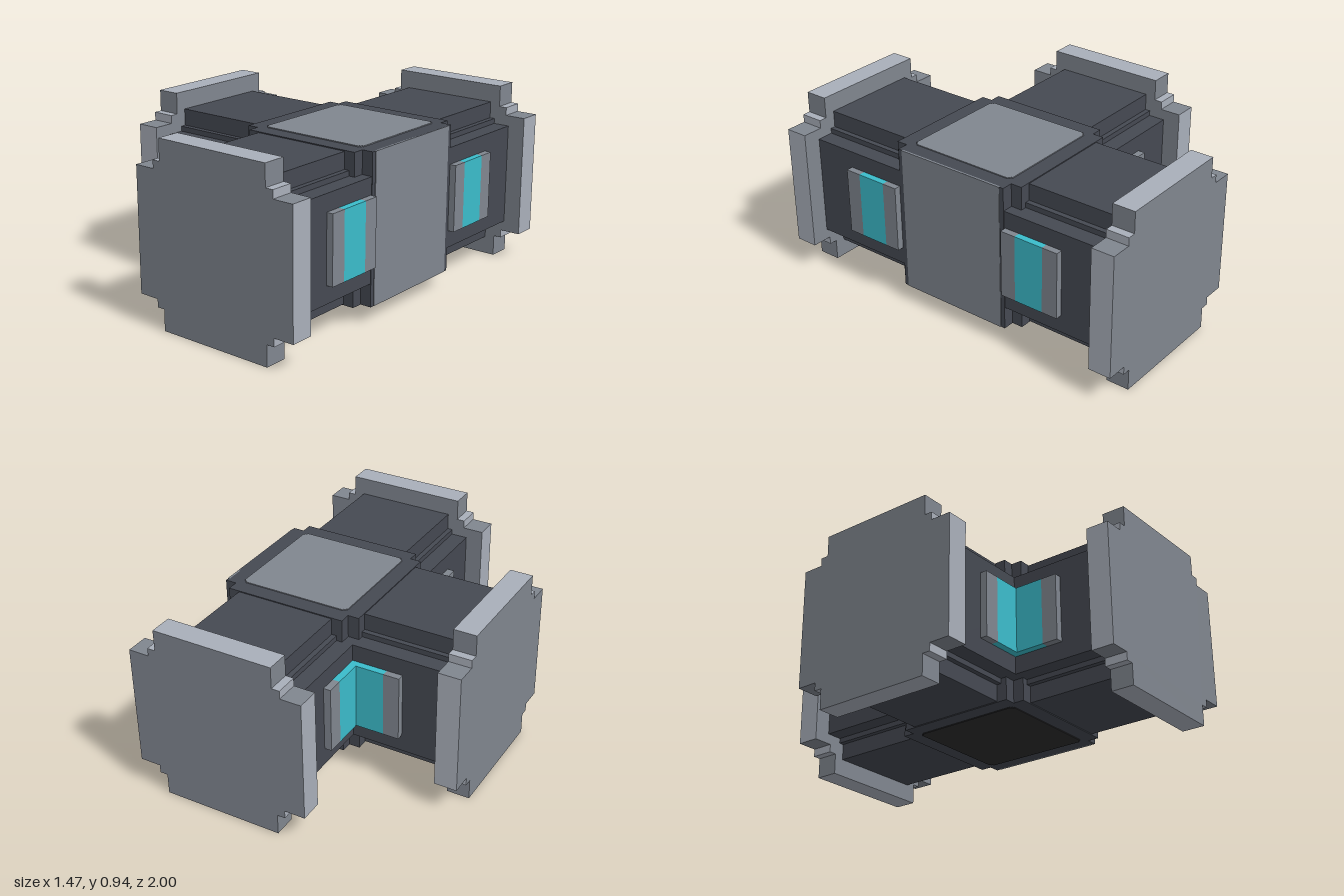
import * as THREE from 'three';

const CX = 0.262, CY = 0.473; // axis of the main corridor

const mat = (name, color) => Object.assign(new THREE.MeshStandardMaterial({ color }), { name });

// Square with stepped corners: a = outer reach, b = notch edge, c = small inner step
function steppedSquare(a, b, c) {
  const pts = [];
  for (let q = 0; q < 4; q++) {
    for (const [x, y] of [[a, b], [c, b], [c, c], [b, c], [b, a]]) {
      pts.push(new THREE.Vector2(x, y).rotateAround(new THREE.Vector2(), q * Math.PI / 2));
    }
  }
  return new THREE.Shape(pts);
}

// Prism centred on the origin, running along z
function prism(shape, depth) {
  return new THREE.ExtrudeGeometry(shape, { depth, bevelEnabled: false }).translate(0, 0, -depth / 2);
}

export function createModel() {
  const group = new THREE.Group();
  group.name = 'corridorJunction';
  const hull = mat('darkHull', 0x454952);
  const grey = mat('greyPanel', 0x80868f);
  const light = mat('lightTrim', 0xa9afba);
  const cyan = mat('cyanGlass', 0x3bbccb);
  const under = mat('undersidePanel', 0x2c2c2d);

  const add = (name, geo, material, x, y, z) => {
    const m = new THREE.Mesh(geo, material);
    m.name = name;
    m.position.set(x, y, z);
    group.add(m);
    return m;
  };
  // Box given by its limits
  const box = (name, material, x0, x1, y0, y1, z0, z1) => add(name,
    new THREE.BoxGeometry(x1 - x0, y1 - y0, z1 - z0), material,
    (x0 + x1) / 2, (y0 + y1) / 2, (z0 + z1) / 2);

  // Corridors with notched edges
  const section = steppedSquare(0.379, 0.265, 0.292);
  add('mainCorridor', prism(section, 1.8), hull, CX, CY, 0);
  add('sideCorridor', prism(section, 0.9).rotateY(Math.PI / 2), hull, -0.19, CY, 0);

  // Central block, fuller than the corridors at its corners
  add('junctionBlock', prism(steppedSquare(0.382, 0.323, 0.323), 0.768).rotateX(-Math.PI / 2), hull, CX, CY, 0);

  // Roof and floor panels with clipped corners
  const panel = steppedSquare(0.297, 0.28, 0.289);
  add('roofPanel', prism(panel, 0.008).rotateX(-Math.PI / 2), grey, CX, CY + 0.385, 0);
  add('floorPanel', prism(panel, 0.008).rotateX(-Math.PI / 2), under, CX, CY - 0.385, 0);

  // Closed wall opposite the side corridor
  box('endWall', grey, 0.636, 0.647, CY - 0.384, CY + 0.384, -0.3, 0.3);

  // End flanges: grey faces and notches, light rims
  const flangeGeo = prism(steppedSquare(0.472, 0.32, 0.362), 0.12);
  const { start } = flangeGeo.groups[1];
  flangeGeo.clearGroups();
  flangeGeo.addGroup(0, start, 0);
  for (let i = 0; i < 20; i++) {
    flangeGeo.addGroup(start + i * 6, 6, [0, 1, 1, 0, 1][i % 5]);
  }
  add('frontFlange', flangeGeo, [grey, light], CX, CY, 0.94);
  add('backFlange', flangeGeo, [grey, light], CX, CY, -0.94);
  add('sideFlange', flangeGeo, [grey, light], -0.678, CY, 0).rotation.y = Math.PI / 2;

  // Windows, mirrored front to back
  const y0 = 0.3, y1 = 0.65;
  for (const s of [1, -1]) {
    const pane = (name, material, x0, x1, za, zb) =>
      box(name, material, x0, x1, y0, y1, Math.min(s * za, s * zb), Math.max(s * za, s * zb));
    // Outer wall window
    pane('windowFrame', grey, 0.63, 0.676, 0.33, 0.412);
    pane('windowGlass', cyan, 0.63, 0.676, 0.412, 0.57);
    pane('windowFrame', grey, 0.63, 0.676, 0.57, 0.655);
    // Window wrapping the inner corner
    pane('cornerFrame', grey, -0.155, -0.11, 0.57, 0.655);
    pane('cornerGlass', cyan, -0.155, -0.11, 0.37, 0.57);
    pane('cornerGlass', cyan, -0.305, -0.155, 0.37, 0.416);
    pane('cornerFrame', grey, -0.39, -0.305, 0.37, 0.416);
  }
  return group;
}
